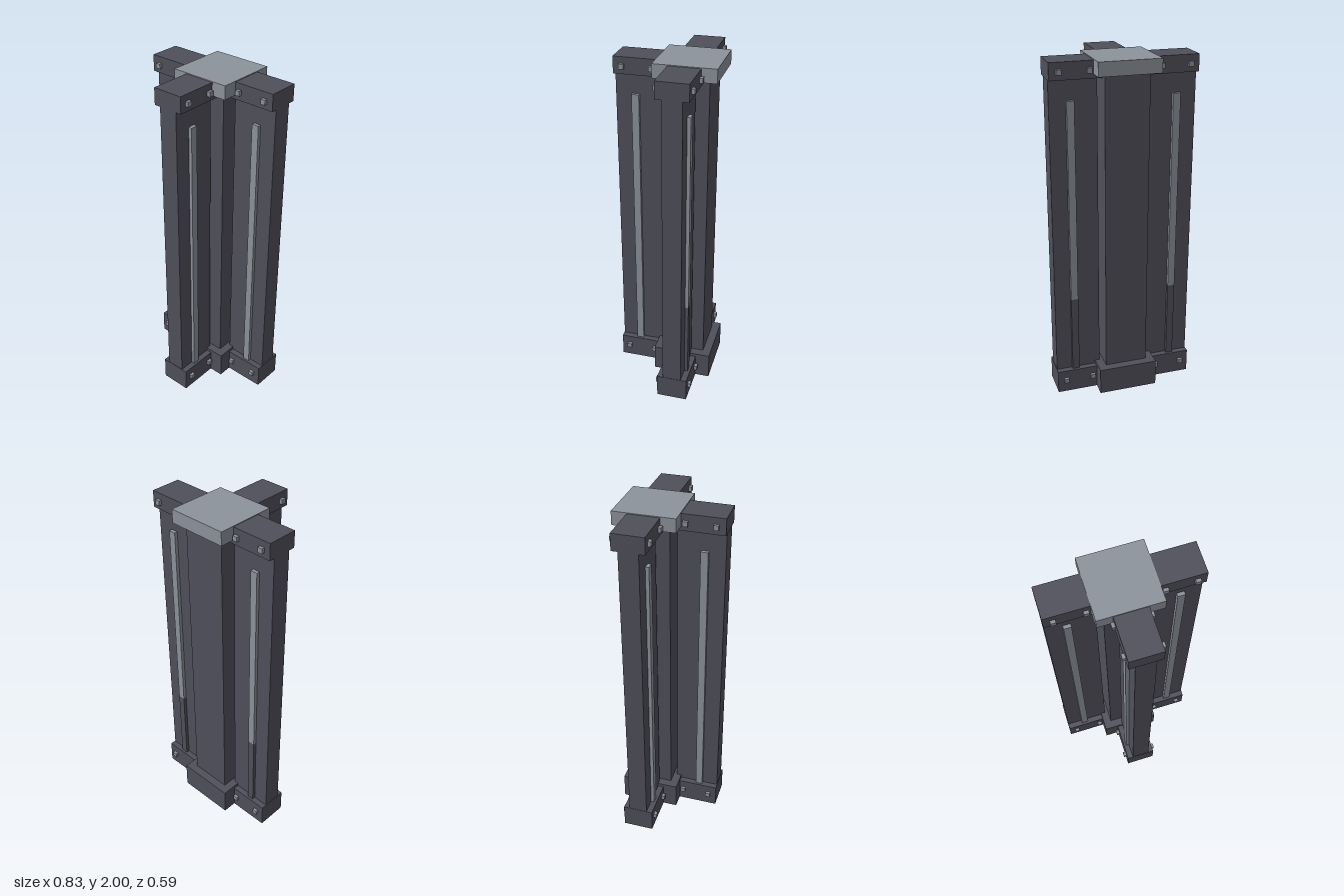
import * as THREE from 'three';

const dark = new THREE.MeshStandardMaterial({ color: 0x50505b });
dark.name = 'dark metal';
const light = new THREE.MeshStandardMaterial({ color: 0x8d939c });
light.name = 'light metal';

// Box given by its minimum and maximum on each axis
function box(name, material, [x0, x1], [y0, y1], [z0, z1]) {
  const mesh = new THREE.Mesh(new THREE.BoxGeometry(x1 - x0, y1 - y0, z1 - z0), material);
  mesh.name = name;
  mesh.position.set((x0 + x1) / 2, (y0 + y1) / 2, (z0 + z1) / 2);
  return mesh;
}

// One wall arm pointing along +x; darkSide is the face (+1 / -1) with a dark lower strip
function createArm(name, darkSide) {
  const arm = new THREE.Group();
  arm.name = name;
  arm.add(
    box('wallPanel', dark, [0.147, 0.413], [0.13, 1.91], [-0.055, 0.055]),
    box('armBase', dark, [0.1, 0.415], [0, 0.14], [-0.09, 0.09]),
    box('armCap', dark, [0.1, 0.415], [1.9, 1.995], [-0.09, 0.09])
  );
  for (const side of [-1, 1]) {
    const span = (a, b) => (side > 0 ? [a, b] : [-b, -a]);
    // Vertical strip on the panel
    const split = side === darkSide ? 0.61 : 0.14;
    arm.add(box('strip', light, [0.278, 0.32], [split, 1.785], span(0.05, 0.075)));
    if (side === darkSide) {
      arm.add(box('lowerStrip', dark, [0.278, 0.32], [0.14, split], span(0.05, 0.075)));
    }
    // Bolts through the base and the cap
    for (const x of [0.2, 0.365]) {
      for (const y of [0.08, 1.945]) {
        arm.add(box('bolt', light, [x - 0.014, x + 0.014], [y - 0.014, y + 0.014], span(0.08, 0.108)));
      }
    }
  }
  return arm;
}

export function createModel() {
  const model = new THREE.Group();
  model.name = 'wallJunction';

  // Central post with its foot and top plate
  model.add(
    box('centralPost', dark, [-0.126, 0.126], [0.1, 1.95], [-0.126, 0.126]),
    box('postFoot', dark, [-0.175, 0.175], [0, 0.16], [-0.175, 0.175]),
    box('topPlate', light, [-0.175, 0.175], [1.922, 2], [-0.175, 0.175])
  );

  // Three arms: left, right and front
  const left = createArm('leftArm', -1);
  const right = createArm('rightArm', 1);
  right.rotation.y = Math.PI;
  const front = createArm('frontArm', 0);
  front.rotation.y = -Math.PI / 2;
  model.add(left, right, front);

  return model;
}
